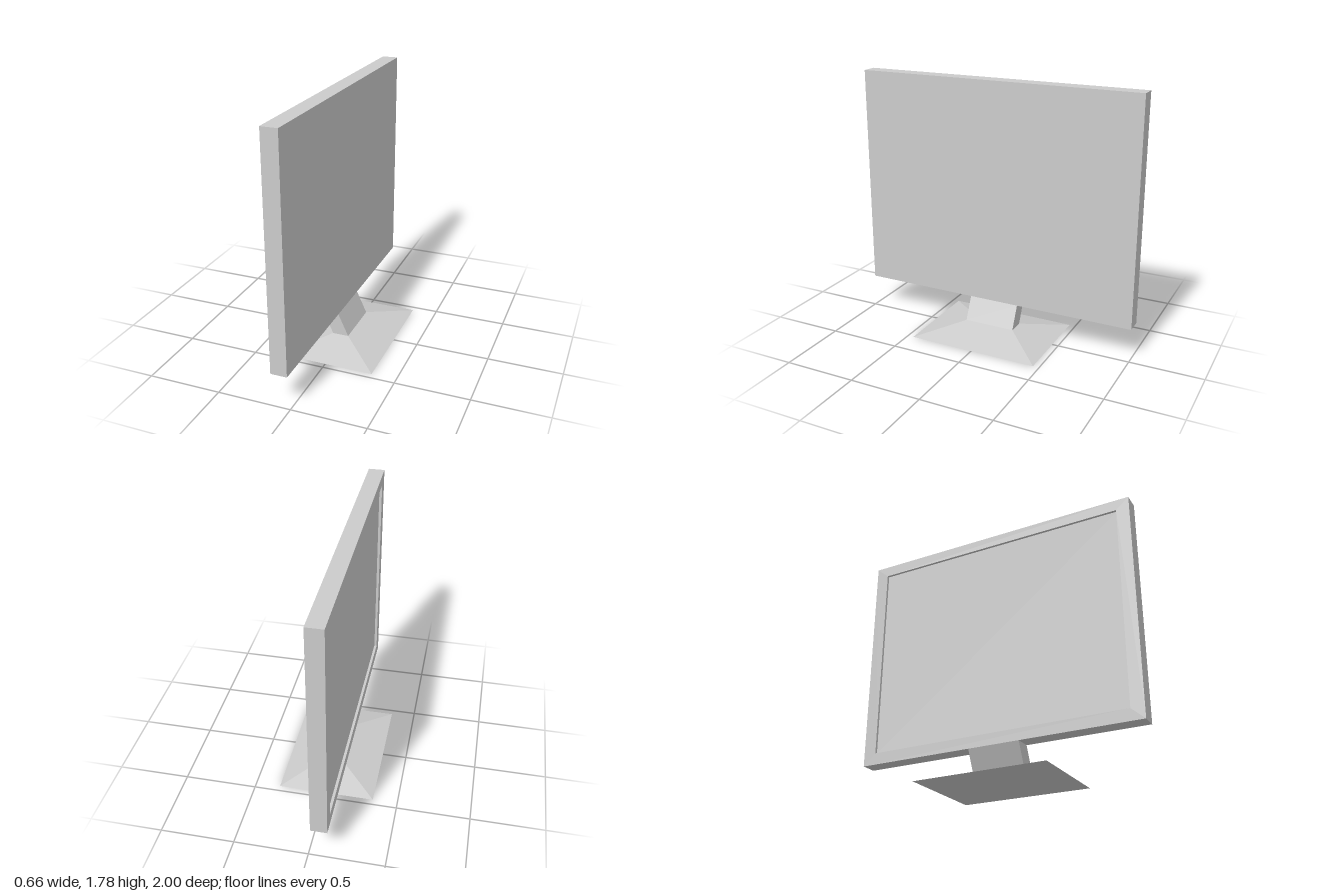
import * as THREE from 'three';

const material = new THREE.MeshStandardMaterial({ color: 0xcccccc, flatShading: true });

// Four-cornered rings, counterclockwise as seen from the direction of travel
const levelRing = (y, x0, x1, z) => [[x0, y, z], [x1, y, z], [x1, y, -z], [x0, y, -z]];
const uprightRing = (x, y0, y1, z) => [[x, y0, -z], [x, y0, z], [x, y1, z], [x, y1, -z]];

// Skin a sequence of rings with flat quads, closing the ends where asked
function loft(name, rings, capStart = true, capEnd = true) {
  const positions = [];
  const quad = (a, b, c, d) => positions.push(...a, ...b, ...c, ...a, ...c, ...d);
  for (let r = 0; r < rings.length - 1; r++) {
    const a = rings[r], b = rings[r + 1];
    for (let i = 0; i < 4; i++) {
      const j = (i + 1) % 4;
      quad(a[i], a[j], b[j], b[i]);
    }
  }
  if (capStart) quad(...[...rings[0]].reverse());
  if (capEnd) quad(...rings[rings.length - 1]);

  const geometry = new THREE.BufferGeometry();
  geometry.setAttribute('position', new THREE.Float32BufferAttribute(positions, 3));
  geometry.computeVertexNormals();
  const mesh = new THREE.Mesh(geometry, material);
  mesh.name = name;
  return mesh;
}

export function createModel() {
  const group = new THREE.Group();
  group.name = 'monitor';

  const backX = -0.016, frontX = -0.127, screenX = -0.109;
  const panelBottom = 0.228, panelTop = 1.778;
  const screenBottom = 0.308, screenTop = 1.702, screenHalf = 0.91;
  const footTop = 0.072, neckHalf = 0.18;

  // Low pyramid-shaped foot
  group.add(loft('foot', [
    levelRing(0, -0.33, 0.33, 0.457),
    levelRing(footTop, -0.056, 0.056, neckHalf),
  ]));

  // Neck leaning towards the screen side
  group.add(loft('neck', [
    levelRing(footTop, -0.056, 0.056, neckHalf),
    levelRing(panelBottom, frontX, backX, neckHalf),
  ]));

  // Housing: flat back, sides, bezel and the step down to the screen
  group.add(loft('housing', [
    uprightRing(backX, panelBottom, panelTop, 1),
    uprightRing(frontX, panelBottom, panelTop, 1),
    uprightRing(frontX, screenBottom, screenTop, screenHalf),
    uprightRing(screenX, screenBottom, screenTop, screenHalf),
  ], true, false));

  // Recessed screen facing -x
  const screen = new THREE.Mesh(
    new THREE.PlaneGeometry(2 * screenHalf, screenTop - screenBottom), material);
  screen.name = 'screen';
  screen.rotation.y = -Math.PI / 2;
  screen.position.set(screenX, (screenBottom + screenTop) / 2, 0);
  group.add(screen);

  return group;
}
